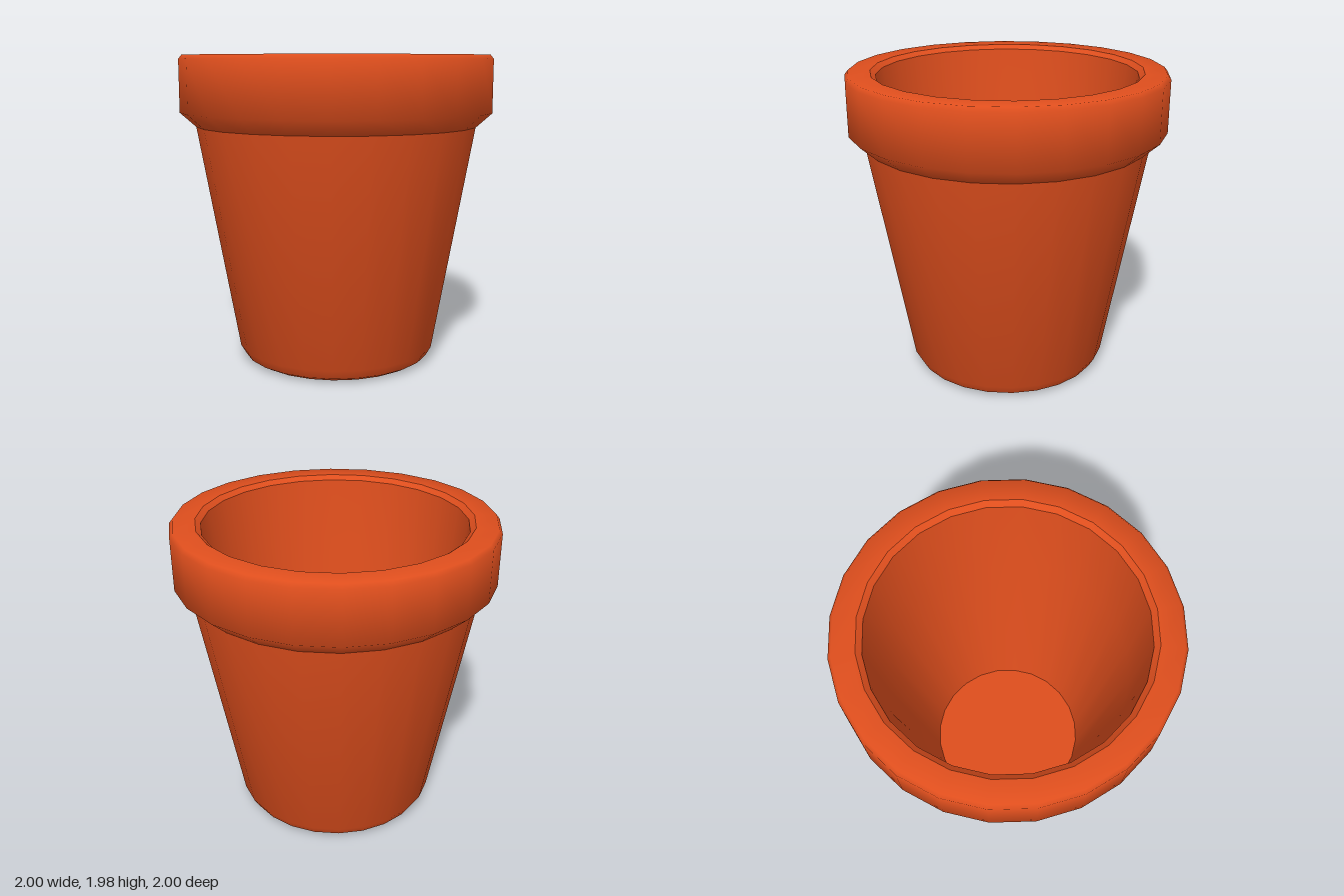
import * as THREE from 'three';
import { toCreasedNormals } from 'three/addons/utils/BufferGeometryUtils.js';

const SIDES = 24;

export function createModel() {
  const pot = new THREE.Group();
  pot.name = 'flowerPot';

  const terracotta = new THREE.MeshStandardMaterial({ color: 0xde4e1d });
  terracotta.name = 'terracotta';

  // Each part is a fully smooth lathe band; separate bands keep crisp edges between them.
  // Profiles run up the outside, over the lip and down the inside.
  const band = (name, profile) => {
    const points = profile.map(([r, y]) => new THREE.Vector2(r, y));
    const geometry = toCreasedNormals(new THREE.LatheGeometry(points, SIDES), Math.PI);
    const mesh = new THREE.Mesh(geometry, terracotta);
    mesh.name = name;
    pot.add(mesh);
  };

  // Underside and its bevel
  band('base', [[0, 0], [0.555, 0]]);
  band('baseBevel', [[0.555, 0], [0.61, 0.03]]);

  // Tapered outer wall
  band('outerWall', [[0.61, 0.03], [0.645, 0.09], [0.9, 1.53]]);

  // Thick rounded rim
  band('rim', [[0.9, 1.53], [1, 1.62], [1, 1.95], [0.98, 1.975], [0.845, 1.975]]);
  band('innerLip', [[0.845, 1.975], [0.812, 1.948]]);

  // Hollow inside: steeper behind the rim, then parallel to the outer wall
  band('innerWall', [[0.812, 1.948], [0.745, 1.4], [0.515, 0.08]]);
  band('floor', [[0.515, 0.08], [0, 0.08]]);

  return pot;
}
